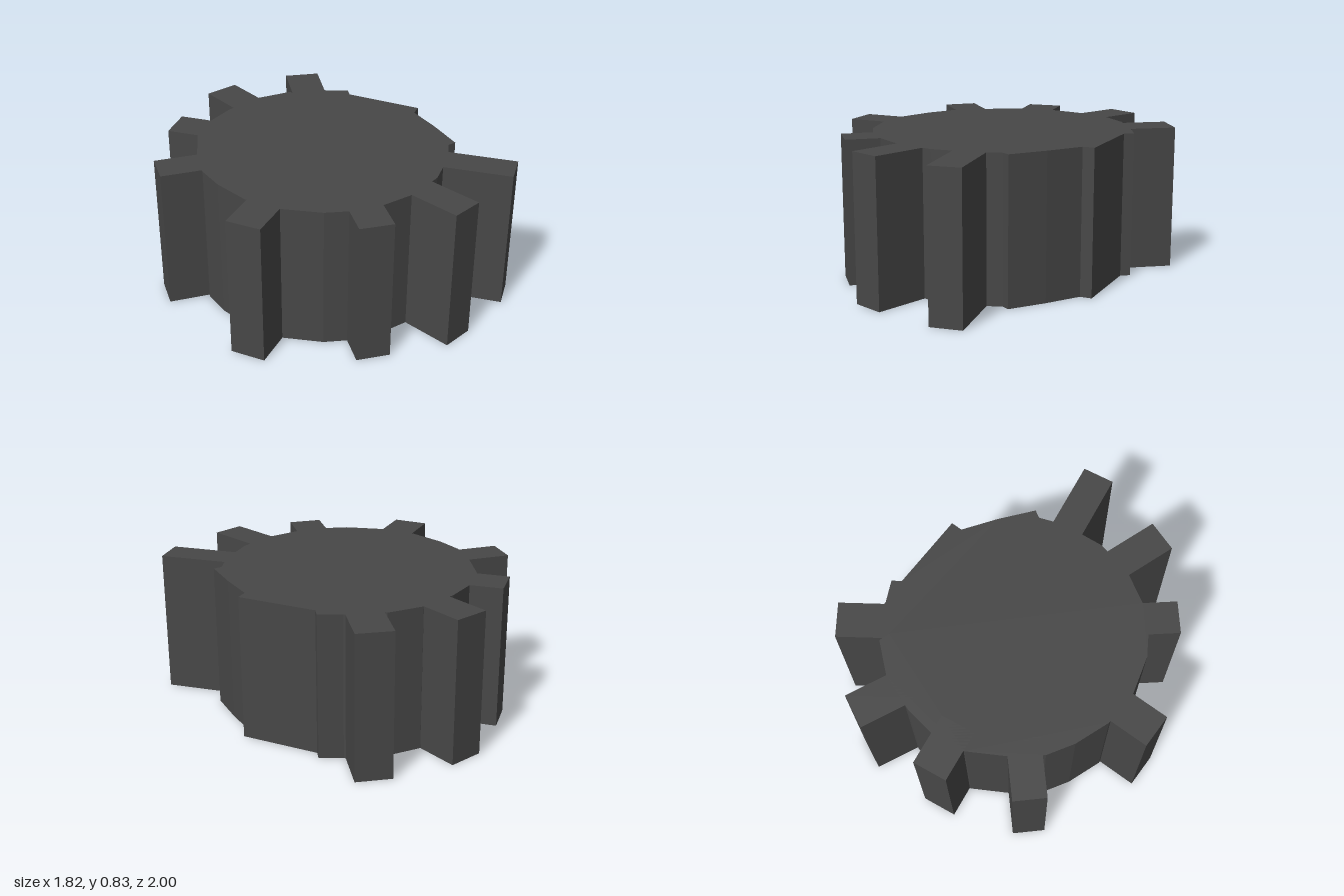
import * as THREE from 'three';

const HEIGHT = 0.835;
const material = new THREE.MeshStandardMaterial({ color: 0x474747, flatShading: true });

// Upright prism over a plan outline of [x, z] points
function prism(name, outline) {
  const shape = new THREE.Shape(outline.map(([x, z]) => new THREE.Vector2(x, -z)));
  const geometry = new THREE.ExtrudeGeometry(shape, { depth: HEIGHT, bevelEnabled: false });
  geometry.rotateX(-Math.PI / 2);
  const mesh = new THREE.Mesh(geometry, material);
  mesh.name = name;
  return mesh;
}

// Tooth from the two corners of its outer end, running straight inward into the hub
function tooth([ax, az], [bx, bz], length) {
  const w = Math.hypot(bx - ax, bz - az);
  let nx = (az - bz) / w, nz = (bx - ax) / w;
  if (nx * (ax + bx) + nz * (az + bz) > 0) { nx = -nx; nz = -nz; }
  const dx = nx * length, dz = nz * length;
  return prism('tooth', [[ax, az], [bx, bz], [bx + dx, bz + dz], [ax + dx, az + dz]]);
}

export function createModel() {
  const model = new THREE.Group();
  model.name = 'gear';

  // Irregular solid hub, with a worn stepped side
  model.add(prism('hub', [
    [-0.1, -0.73], [0, -0.755], [0.21, -0.74], [0.23, -0.68], [0.4, -0.68], [0.42, -0.65],
    [0.54, -0.585], [0.52, -0.53], [0.79, -0.16], [0.735, -0.12], [0.74, 0.1], [0.73, 0.325],
    [0.68, 0.33], [0.62, 0.42], [0.5, 0.54], [0.41, 0.62], [0.2, 0.71], [0, 0.73],
    [-0.16, 0.71], [-0.31, 0.65], [-0.5, 0.5], [-0.61, 0.33], [-0.67, 0.12], [-0.685, -0.05],
    [-0.64, -0.23], [-0.54, -0.46], [-0.4, -0.6], [-0.23, -0.69],
  ]));

  // Unevenly spaced teeth: outer corners and length
  const teeth = [
    [[-0.25, -0.96], [-0.05, -1.0], 0.36],
    [[0.30, -0.97], [0.495, -0.905], 0.34],
    [[-0.665, -0.6], [-0.52, -0.74], 0.3],
    [[-0.91, -0.11], [-0.875, -0.295], 0.34],
    [[-0.79, 0.48], [-0.67, 0.64], 0.34],
    [[-0.23, 0.875], [-0.045, 0.92], 0.3],
    [[0.275, 1.0], [0.455, 0.945], 0.4],
    [[0.78, 0.81], [0.91, 0.68], 0.5],
  ];
  for (const [a, b, length] of teeth) model.add(tooth(a, b, length));

  return model;
}
